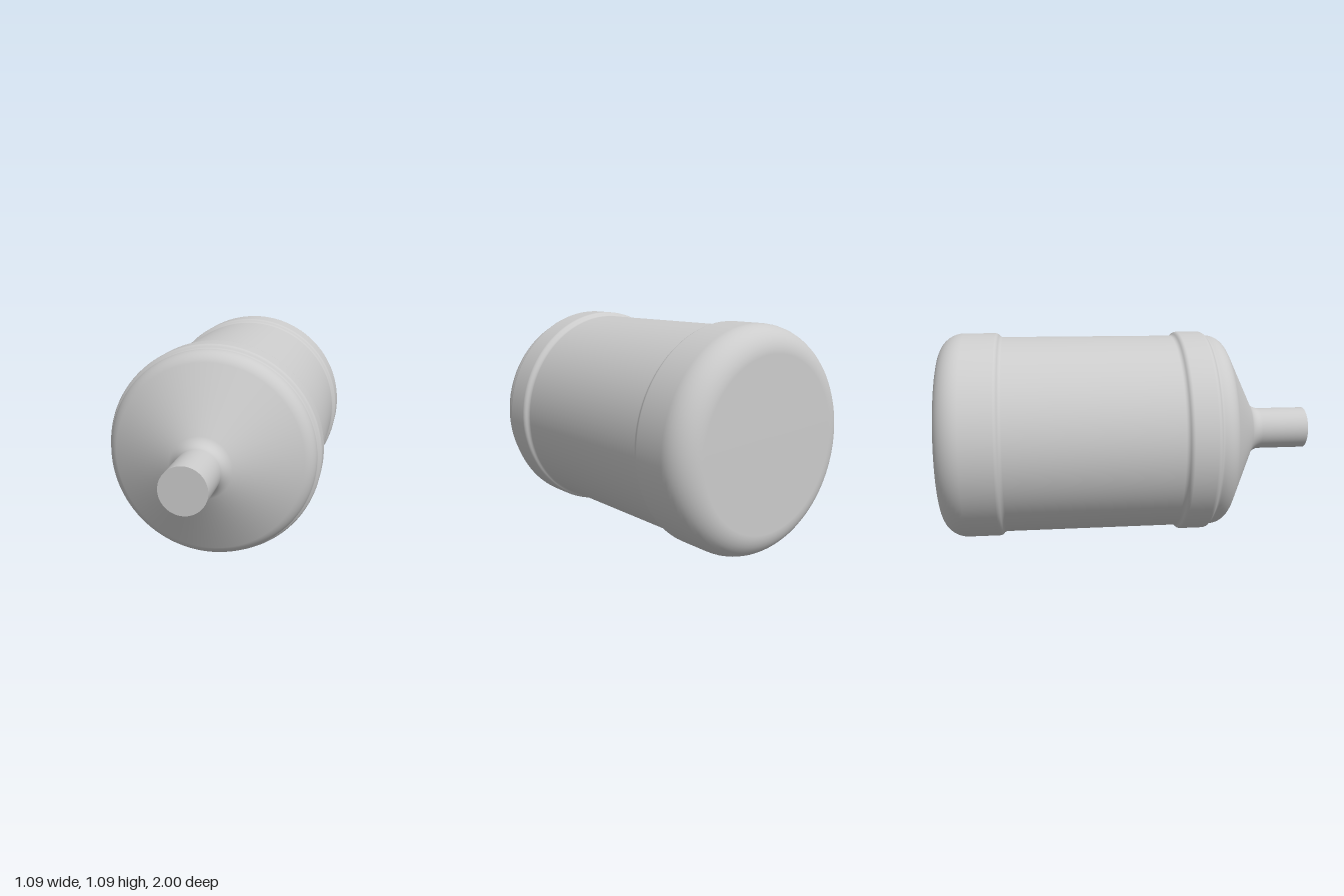
import * as THREE from 'three';

const BAND = 0.546;   // radius of the raised bands, also the axis height
const BODY = 0.525;   // radius of the main wall
const NECK = 0.113;   // radius of the neck

// Corners of the profile: [radius, z, tangent length of the rounding]
const corners = [
  [0, -1, 0],
  [BAND, -1, 0.13],
  [BAND, -0.695, 0.012],
  [BODY, -0.678, 0.012],
  [BODY, 0.242, 0.012],
  [BAND, 0.259, 0.012],
  [BAND, 0.4, 0.012],
  [BODY, 0.417, 0.008],
  [BODY, 0.487, 0.058],
  [NECK, 0.696, 0.047],
  [NECK, 1, 0],
];

// Turns the corner list into a profile whose corners are circular arcs
function roundedProfile(list) {
  const points = [];
  list.forEach(([r, z, t], i) => {
    const c = new THREE.Vector2(r, z);
    if (!t) { points.push(c); return; }
    const a = new THREE.Vector2(list[i - 1][0], list[i - 1][1]).sub(c).normalize();
    const b = new THREE.Vector2(list[i + 1][0], list[i + 1][1]).sub(c).normalize();
    const half = Math.acos(THREE.MathUtils.clamp(a.dot(b), -1, 1)) / 2;
    const start = c.clone().addScaledVector(a, t);
    const end = c.clone().addScaledVector(b, t);
    const center = c.clone().addScaledVector(a.clone().add(b).normalize(), t / Math.cos(half));
    const from = start.clone().sub(center);
    const to = end.clone().sub(center);
    const sweep = Math.atan2(from.cross(to), from.dot(to));
    const steps = t > 0.02 ? 10 : 4;
    for (let k = 0; k <= steps; k++) {
      points.push(from.clone().rotateAround(new THREE.Vector2(), sweep * k / steps).add(center));
    }
  });
  return points;
}

export function createModel() {
  const group = new THREE.Group();
  group.name = 'bottle';
  const material = new THREE.MeshStandardMaterial({ color: 0xcccccc });

  // Shell turned around the lying axis, neck towards the front
  const shell = new THREE.Mesh(new THREE.LatheGeometry(roundedProfile(corners), 96), material);
  shell.geometry.rotateX(Math.PI / 2);
  shell.name = 'bottleShell';
  shell.position.y = BAND;
  group.add(shell);

  // Flat disc closing the neck
  const cap = new THREE.Mesh(new THREE.CircleGeometry(NECK, 96), material);
  cap.name = 'neckCap';
  cap.position.set(0, BAND, 1);
  group.add(cap);

  return group;
}
